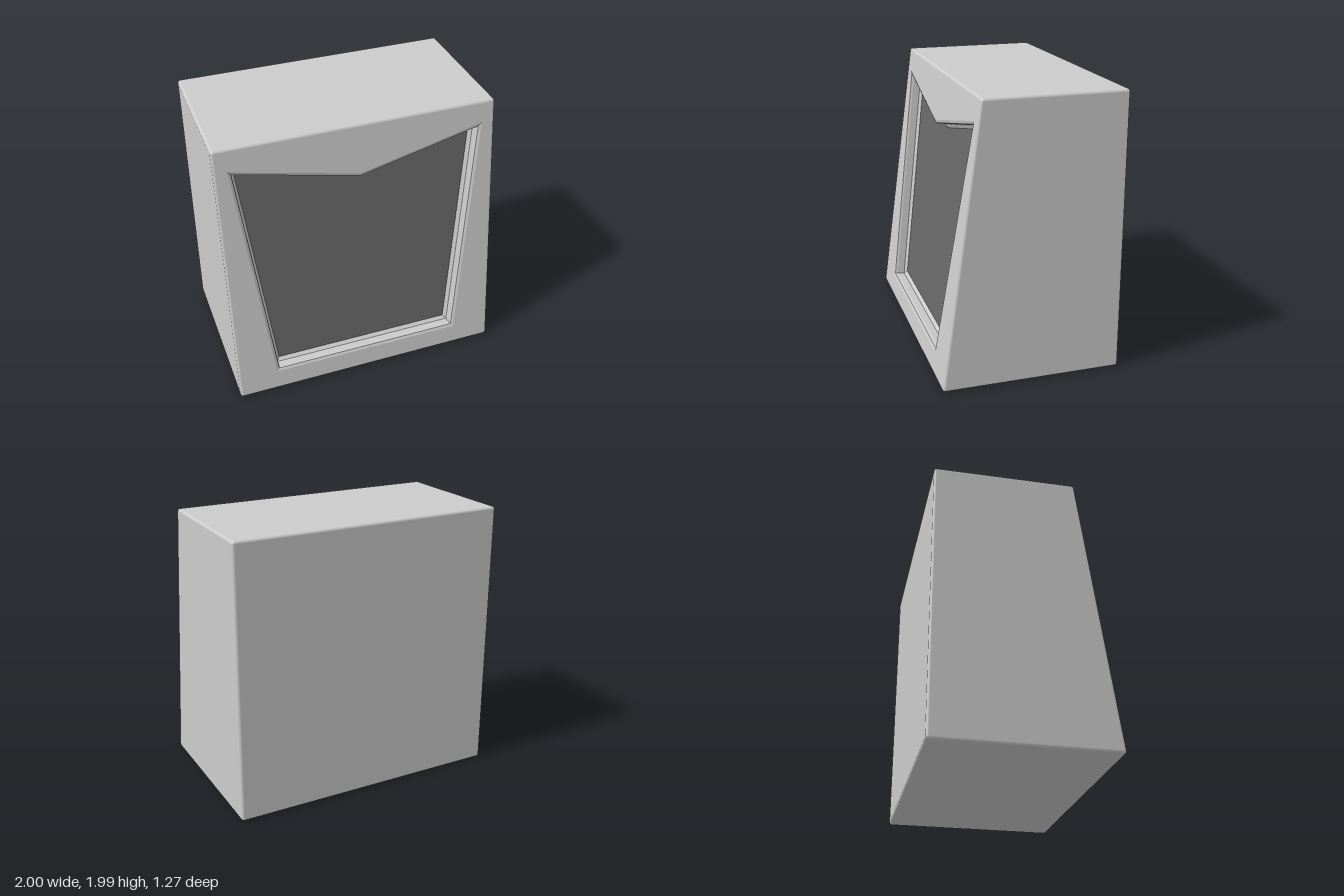
import * as THREE from 'three';
import { RoundedBoxGeometry } from 'three/addons/geometries/RoundedBoxGeometry.js';

const W = 2, H = 1.985, D = 1.27, R = 0.02; // overall size and edge radius
const SLOPE = 0.139; // how far the front leans back per unit of height

// Move every edge of a counter-clockwise outline inwards by d, with mitred corners
function inset(points, d) {
  return points.map((p, i) => {
    const n = points.length;
    const a = p.clone().sub(points[(i + n - 1) % n]).normalize();
    const b = points[(i + 1) % n].clone().sub(p).normalize();
    const na = new THREE.Vector2(-a.y, a.x), nb = new THREE.Vector2(-b.y, b.x);
    const k = d / (1 + na.dot(nb));
    return na.add(nb).multiplyScalar(k).add(p);
  });
}

// Rounded box with a leaning front; its flat front is left open for the frame
function cabinetGeometry() {
  const box = new RoundedBoxGeometry(W, H, D, 2, R);
  const src = box.index ? box.toNonIndexed() : box;
  const p = src.attributes.position, n = src.attributes.normal;
  const pos = [], nor = [];
  for (let i = 0; i < p.count; i += 3) {
    if ([0, 1, 2].every((j) => n.getZ(i + j) > 0.999)) continue;
    for (let j = i; j < i + 3; j++) {
      const y = p.getY(j) + H / 2, z = p.getZ(j), t = z / D + 0.5;
      pos.push(p.getX(j), y, z - t * SLOPE * (y - R));
      const v = new THREE.Vector3(n.getX(j), n.getY(j) + SLOPE * t * n.getZ(j), n.getZ(j)).normalize();
      nor.push(v.x, v.y, v.z);
    }
  }
  const g = new THREE.BufferGeometry();
  g.setAttribute('position', new THREE.Float32BufferAttribute(pos, 3));
  g.setAttribute('normal', new THREE.Float32BufferAttribute(nor, 3));
  return g;
}

// Band of flat quads stepping through [inset, depth] pairs around the outline
function recessGeometry(outline, steps) {
  const loops = steps.map(([d, z]) => inset(outline, d).map((p) => [p.x, p.y, -z]));
  const pos = [];
  for (let s = 0; s + 1 < loops.length; s++) {
    const a = loops[s], b = loops[s + 1];
    for (let i = 0; i < a.length; i++) {
      const j = (i + 1) % a.length;
      pos.push(...a[i], ...a[j], ...b[j], ...a[i], ...b[j], ...b[i]);
    }
  }
  const g = new THREE.BufferGeometry();
  g.setAttribute('position', new THREE.Float32BufferAttribute(pos, 3));
  g.computeVertexNormals();
  return g;
}

export function createModel() {
  const model = new THREE.Group();
  const grey = new THREE.MeshStandardMaterial({ color: 0xcccccc });
  const dark = new THREE.MeshStandardMaterial({ color: 0x686868 });
  const add = (parent, name, geometry, material) => {
    const mesh = new THREE.Mesh(geometry, material);
    mesh.name = name;
    parent.add(mesh);
    return mesh;
  };

  add(model, 'cabinet', cabinetGeometry(), grey);

  // Leaning front: local y runs up the slope, local z points out of it
  const front = new THREE.Group();
  front.name = 'front';
  front.position.set(0, R, D / 2);
  front.rotation.x = -Math.atan(SLOPE);
  model.add(front);
  const stretch = Math.hypot(1, SLOPE);
  const up = (y) => (y - R) * stretch;

  // Opening outline with a notched top, counter-clockwise
  const outline = [[-0.71, 0.155], [0.71, 0.155], [0.905, 1.825], [0, 1.625], [-0.905, 1.825]]
    .map(([x, y]) => new THREE.Vector2(x, up(y)));

  // Frame around the opening
  const x = W / 2 - R, top = up(H - R);
  const frame = new THREE.Shape([[-x, 0], [x, 0], [x, top], [-x, top]].map((c) => new THREE.Vector2(...c)));
  frame.holes.push(new THREE.Path(outline));
  add(front, 'frontFrame', new THREE.ShapeGeometry(frame), grey);

  // Bevelled recess, then the dark panel at its back
  const steps = [[0, 0], [0.02, 0.008], [0.025, 0.025], [0.025, 0.08], [0.03, 0.085], [0.05, 0.1]];
  add(front, 'recessRim', recessGeometry(outline, steps), grey);
  const panel = add(front, 'panel', new THREE.ShapeGeometry(new THREE.Shape(inset(outline, 0.05))), dark);
  panel.position.z = -0.1;

  return model;
}
